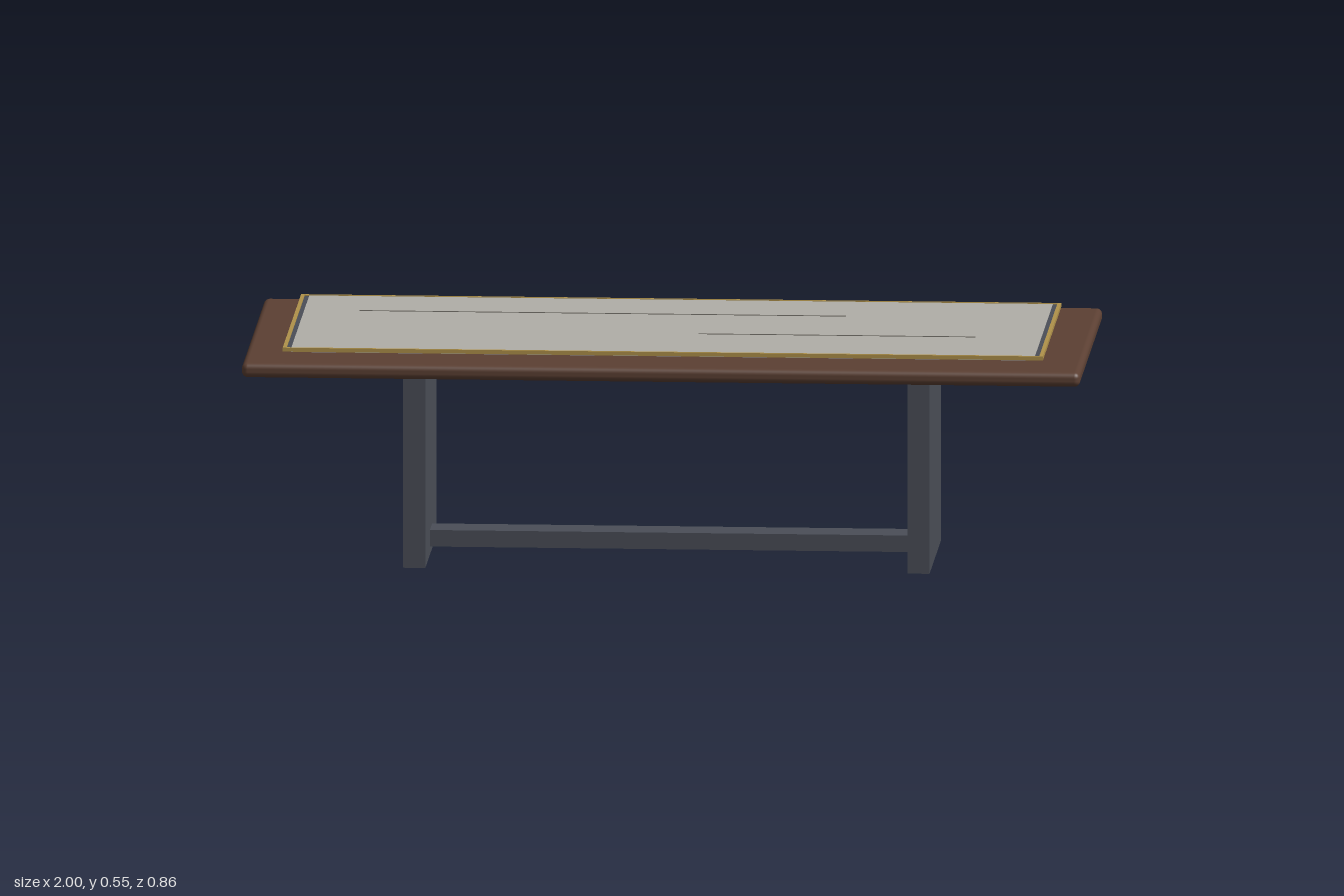
import * as THREE from 'three';
import { RoundedBoxGeometry } from 'three/addons/geometries/RoundedBoxGeometry.js';

const mat = (name, color) => {
  const m = new THREE.MeshStandardMaterial({ color });
  m.name = name;
  return m;
};

export function createModel() {
  const wood = mat('walnut wood', 0x5c4033);
  const steel = mat('dark steel', 0x4a4e57);
  const stone = mat('pale stone', 0xb0aea7);
  const brass = mat('brass', 0xb0924a);
  const vein = mat('stone vein', 0x68655f);

  const table = new THREE.Group();
  table.name = 'table';

  const add = (name, geometry, material, x, y, z) => {
    const mesh = new THREE.Mesh(geometry, material);
    mesh.name = name;
    mesh.position.set(x, y, z);
    table.add(mesh);
  };
  // box given by its x, y and z ranges
  const box = (name, material, x0, x1, y0, y1, z0, z1) =>
    add(name, new THREE.BoxGeometry(x1 - x0, y1 - y0, z1 - z0), material,
      (x0 + x1) / 2, (y0 + y1) / 2, (z0 + z1) / 2);

  // wooden top with softened edges
  add('tabletop', new RoundedBoxGeometry(2, 0.035, 0.856, 4, 0.014), wood, 0, 0.5125, 0);

  // slab legs joined by a low stretcher
  box('rightLeg', steel, -0.628, -0.575, 0, 0.497, -0.215, 0.215);
  box('leftLeg', steel, 0.575, 0.628, 0, 0.497, -0.215, 0.215);
  box('stretcher', steel, -0.575, 0.575, 0.02, 0.06, -0.043, 0.043);

  // raised stone panel on a small plinth
  box('plinth', steel, -0.18, 0.18, 0.529, 0.544, -0.057, 0.057);
  box('stonePanel', stone, -0.887, 0.887, 0.543, 0.553, -0.341, 0.341);

  // brass edging and dark end joints
  for (const s of [-1, 1]) {
    const x = s * 0.9025, z = s * 0.3445;
    box('endTrim', brass, x - 0.0045, x + 0.0045, 0.545, 0.5545, -0.348, 0.348);
    box('sideTrim', brass, -0.898, 0.898, 0.545, 0.5545, z - 0.0035, z + 0.0035);
    box('endJoint', steel, s * 0.8925 - 0.0055, s * 0.8925 + 0.0055, 0.544, 0.5515, -0.341, 0.341);
  }

  // fine veins on the stone
  box('longVein', vein, -0.755, 0.405, 0.552, 0.5542, -0.152, -0.148);
  box('shortVein', vein, 0.07, 0.73, 0.552, 0.5542, 0.098, 0.102);

  return table;
}
